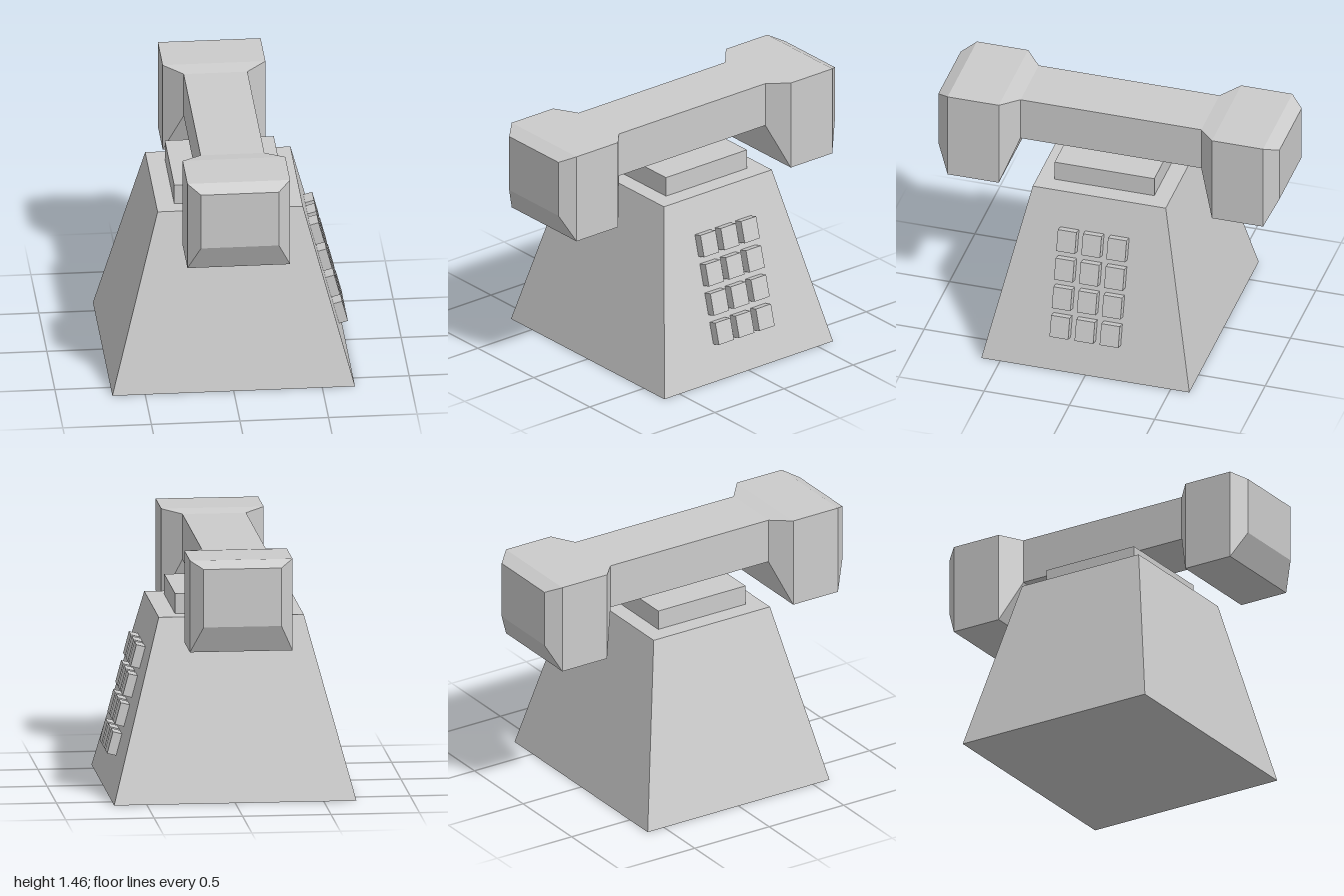
import * as THREE from 'three';

const material = new THREE.MeshStandardMaterial({ color: 0xcccccc, flatShading: true });

// Lofts rectangles [z, halfWidth, yLow, yHigh] along z and caps both ends.
function loftRects(sections) {
  const rings = sections.map(([z, h, y0, y1]) => [[-h, y0, z], [h, y0, z], [h, y1, z], [-h, y1, z]]);
  const pos = [];
  const quad = (a, b, c, d) => pos.push(...a, ...b, ...c, ...a, ...c, ...d);
  for (let s = 0; s < rings.length - 1; s++) {
    const a = rings[s], b = rings[s + 1];
    for (let i = 0; i < 4; i++) {
      const j = (i + 1) % 4;
      quad(a[i], a[j], b[j], b[i]);
    }
  }
  quad(...[...rings[0]].reverse());
  quad(...rings[rings.length - 1]);
  const geometry = new THREE.BufferGeometry();
  geometry.setAttribute('position', new THREE.Float32BufferAttribute(pos, 3));
  geometry.computeVertexNormals();
  return geometry;
}

function addMesh(parent, name, geometry) {
  const mesh = new THREE.Mesh(geometry, material);
  mesh.name = name;
  parent.add(mesh);
  return mesh;
}

export function createModel() {
  const model = new THREE.Group();
  model.name = 'telephone';

  // Tapered body
  const bottom = 0.685, top = 0.41, height = 1.03;
  const body = loftRects([[0, bottom, -0.61, 0.61], [height, top, -0.39, 0.39]]);
  addMesh(model, 'body', body.rotateX(-Math.PI / 2));

  // Cradle block under the handset
  addMesh(model, 'cradle', new THREE.BoxGeometry(0.615, 0.115, 0.585)).position.y = height + 0.0575;

  // Handset: bevelled ear and mouth pieces joined by a straight bar
  const end = [[0.53, 0.18, 1.18, 1.44], [0.625, 0.29, 0.93, 1.455], [0.925, 0.29, 0.93, 1.455], [1, 0.22, 1.085, 1.417]];
  const mirrored = end.map(([z, ...rest]) => [-z, ...rest]).reverse();
  addMesh(model, 'handset', loftRects([...mirrored, ...end]));

  // Keypad lying on the sloping left side
  const keypad = new THREE.Group();
  keypad.name = 'keypad';
  const slope = Math.atan2(bottom - top, height);
  const keyGeometry = new THREE.BoxGeometry(0.054, 0.128, 0.109);
  for (let row = 0; row < 4; row++) {
    for (let col = 0; col < 3; col++) {
      const y = 0.273 + row * 0.1653;
      const key = addMesh(keypad, 'key', keyGeometry);
      key.position.set(bottom - y * Math.tan(slope) + 0.026, y, 0.01 + (col - 1) * 0.147);
      key.rotation.z = slope;
    }
  }
  model.add(keypad);
  return model;
}
